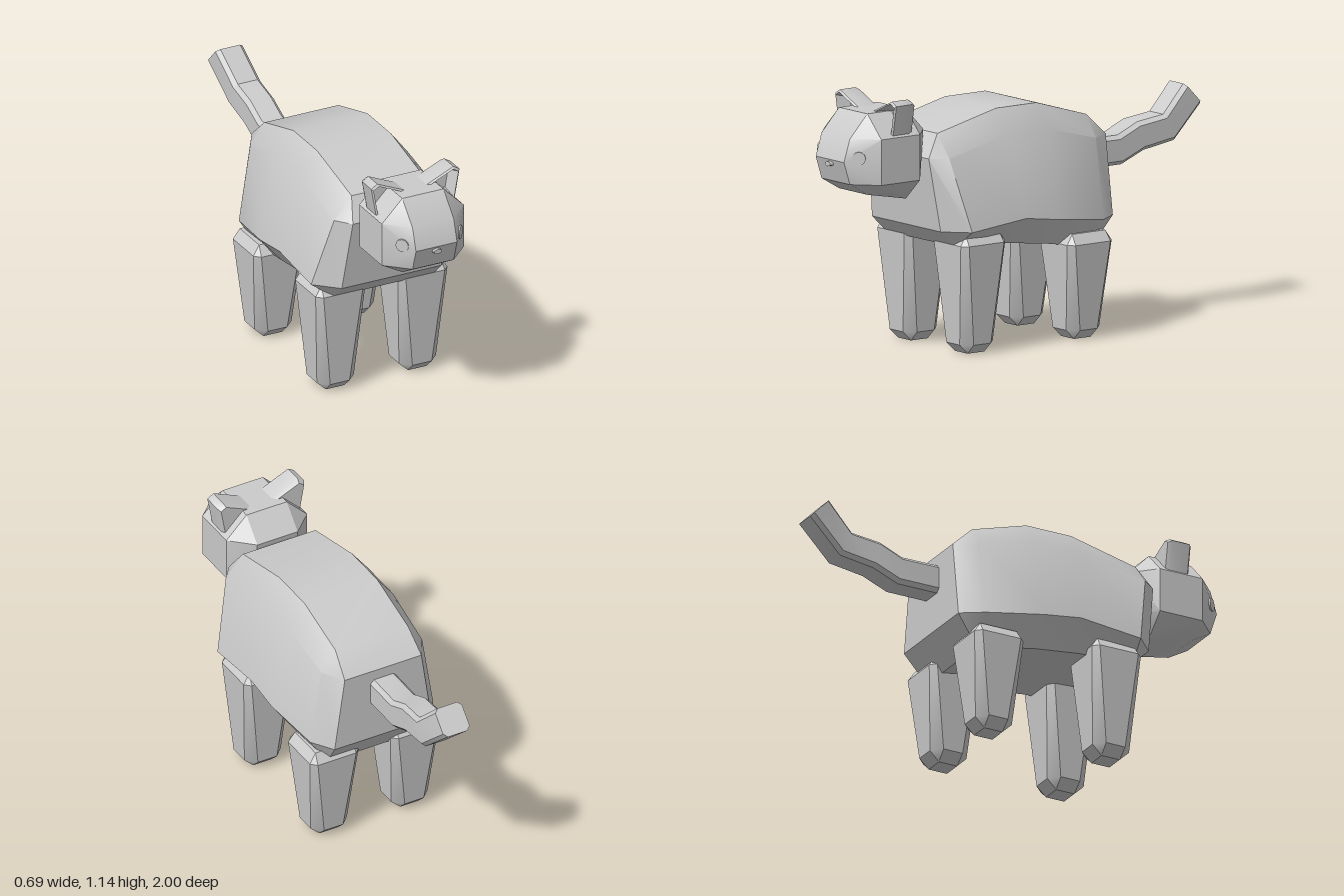
import * as THREE from 'three';
import { toCreasedNormals } from 'three/addons/utils/BufferGeometryUtils.js';
import { ConvexGeometry } from 'three/addons/geometries/ConvexGeometry.js';

const material = new THREE.MeshStandardMaterial({ color: 0xcccccc });
const CREASE = 0.56;
const V = (x, y, z) => new THREE.Vector3(x, y, z);

function addMesh(parent, name, geometry) {
  const mesh = new THREE.Mesh(geometry, material);
  mesh.name = name;
  parent.add(mesh);
  return mesh;
}

// Skin closed rings of points, cap both ends, and make the faces point outward.
function loft(rings) {
  const tris = [];
  const n = rings[0].length;
  const add = (a, b, c) => {
    const area = b.clone().sub(a).cross(c.clone().sub(a)).length();
    if (area > 1e-9) tris.push([a, b, c]);
  };
  for (let r = 0; r < rings.length - 1; r++) {
    for (let i = 0; i < n; i++) {
      const j = (i + 1) % n;
      add(rings[r][i], rings[r][j], rings[r + 1][j]);
      add(rings[r][i], rings[r + 1][j], rings[r + 1][i]);
    }
  }
  const cap = (ring, flip) => {
    const mid = ring.reduce((s, p) => s.add(p), V(0, 0, 0)).divideScalar(n);
    ring.forEach((p, i) => {
      const q = ring[(i + 1) % n];
      if (flip) add(mid, q, p);
      else add(mid, p, q);
    });
  };
  cap(rings[0], true);
  cap(rings[rings.length - 1], false);
  const volume = tris.reduce((s, [a, b, c]) => s + a.dot(b.clone().cross(c)), 0);
  const points = tris.flatMap(([a, b, c]) => (volume < 0 ? [a, c, b] : [a, b, c]));
  return toCreasedNormals(new THREE.BufferGeometry().setFromPoints(points), CREASE);
}

// Square of half width h with chamfered corners; f is the half width of its flats.
const chamferedSquare = (h, f) =>
  [[f, h], [h, f], [h, -f], [f, -h], [-f, -h], [-h, -f], [-h, f], [-f, h]];

function bodyGeometry() {
  // Each section: top, shoulder, widest and belly corner as [x, y, z]
  const sections = [
    [[0.21, 0.87, 0.61], [0.21, 0.87, 0.61], [0.243, 0.55, 0.57], [0.243, 0.55, 0.57]],
    [[0.18, 0.97, 0.54], [0.265, 0.87, 0.54], [0.343, 0.55, 0.475], [0.243, 0.475, 0.49]],
    [[0.18, 1.045, 0.22], [0.26, 0.94, 0.22], [0.343, 0.58, 0.18], [0.24, 0.462, 0.22]],
    [[0.18, 1.045, 0], [0.26, 0.94, 0], [0.343, 0.555, 0], [0.24, 0.435, 0]],
    [[0.18, 0.965, -0.27], [0.25, 0.87, -0.27], [0.305, 0.52, -0.27], [0.22, 0.388, -0.27]],
    [[0.19, 0.87, -0.37], [0.19, 0.87, -0.37], [0.24, 0.52, -0.37], [0.24, 0.52, -0.37]],
  ];
  return loft(sections.map((s) => [
    ...s.map(([x, y, z]) => V(x, y, z)),
    ...s.slice().reverse().map(([x, y, z]) => V(-x, y, z)),
  ]));
}

function legGeometry(height) {
  // [y, half width, half flat] from sole to hip
  const profile = [
    [0, 0.045, 0.045], [0.043, 0.09, 0.047],
    [height - 0.045, 0.121, 0.095], [height, 0.09, 0.09],
  ];
  return loft(profile.map(([y, h, f]) => chamferedSquare(h, f).map(([x, z]) => V(x, y, z))));
}

function tailGeometry() {
  // [z, y, x, tilt] along the tail
  const path = [
    [-0.34, 0.757, -0.003, 0], [-0.555, 0.757, -0.002, 0.15], [-0.667, 0.805, 0, 0.25],
    [-0.815, 0.828, 0.008, 0.45], [-0.957, 0.958, -0.012, 0.77],
  ];
  return loft(path.map(([z, y, x, tilt]) => chamferedSquare(0.066, 0.048).map(([u, v]) =>
    V(x + u, y + v * Math.cos(tilt), z + v * Math.sin(tilt)))));
}

function headGeometry() {
  const half = [];
  for (const z of [0.65, 0.86]) {
    half.push([0.2, 0.78, z], [0.2, 0.98, z], [0.1, 1.08, z]);
  }
  half.push([0.1, 0.685, 0.65], [0.1, 0.725, 0.86]); // jaw
  half.push([0.1, 0.98, 0.955], [0.1, 0.88, 0.987], [0.1, 0.78, 0.955]); // face
  half.push([0.1, 0.78, 0.58], [0.1, 0.98, 0.555]); // back of head
  const points = half.flatMap(([x, y, z]) => [V(x, y, z), V(-x, y, z)]);
  return toCreasedNormals(new ConvexGeometry(points), CREASE);
}

function earGeometry(side) {
  const outline = [[0.055, 1.08], [0.185, 1.138], [0.215, 1.12], [0.19, 0.98], [0.1, 1.0]];
  const [cx, cy] = [0.155, 1.065];
  // [z, scale]: bevelled back, outer rim, inner rim, hollow floor
  const steps = [[0.685, 0.85], [0.705, 1], [0.79, 1], [0.797, 0.86], [0.73, 0.6]];
  return loft(steps.map(([z, s]) => outline.map(([x, y]) =>
    V(side * (cx + (x - cx) * s), cy + (y - cy) * s, z))));
}

export function createModel() {
  const model = new THREE.Group();
  model.name = 'cat';

  addMesh(model, 'body', bodyGeometry());
  addMesh(model, 'tail', tailGeometry());

  // Legs
  for (const [name, height, z] of [['front', 0.53, 0.38], ['back', 0.47, -0.2]]) {
    for (const side of [1, -1]) {
      const label = `${name}${side > 0 ? 'Left' : 'Right'}Leg`;
      addMesh(model, label, legGeometry(height)).position.set(side * 0.2, 0, z);
    }
  }

  // Head with ears, eyes and nose
  const head = new THREE.Group();
  head.name = 'head';
  model.add(head);
  addMesh(head, 'skull', headGeometry());
  const disc = new THREE.CylinderGeometry(0.03, 0.03, 0.016, 12).rotateX(Math.PI / 2);
  for (const side of [1, -1]) {
    const label = side > 0 ? 'left' : 'right';
    addMesh(head, `${label}Ear`, earGeometry(side));
    const eye = addMesh(head, `${label}Eye`, disc);
    eye.position.set(side * 0.138, 0.897, 0.935);
    eye.rotation.y = side * 0.84;
  }
  const nose = new THREE.CylinderGeometry(0.02, 0.02, 0.03, 6).rotateX(Math.PI / 2).scale(1, 0.55, 1);
  addMesh(head, 'nose', nose).position.set(0, 0.862, 0.985);

  return model;
}
